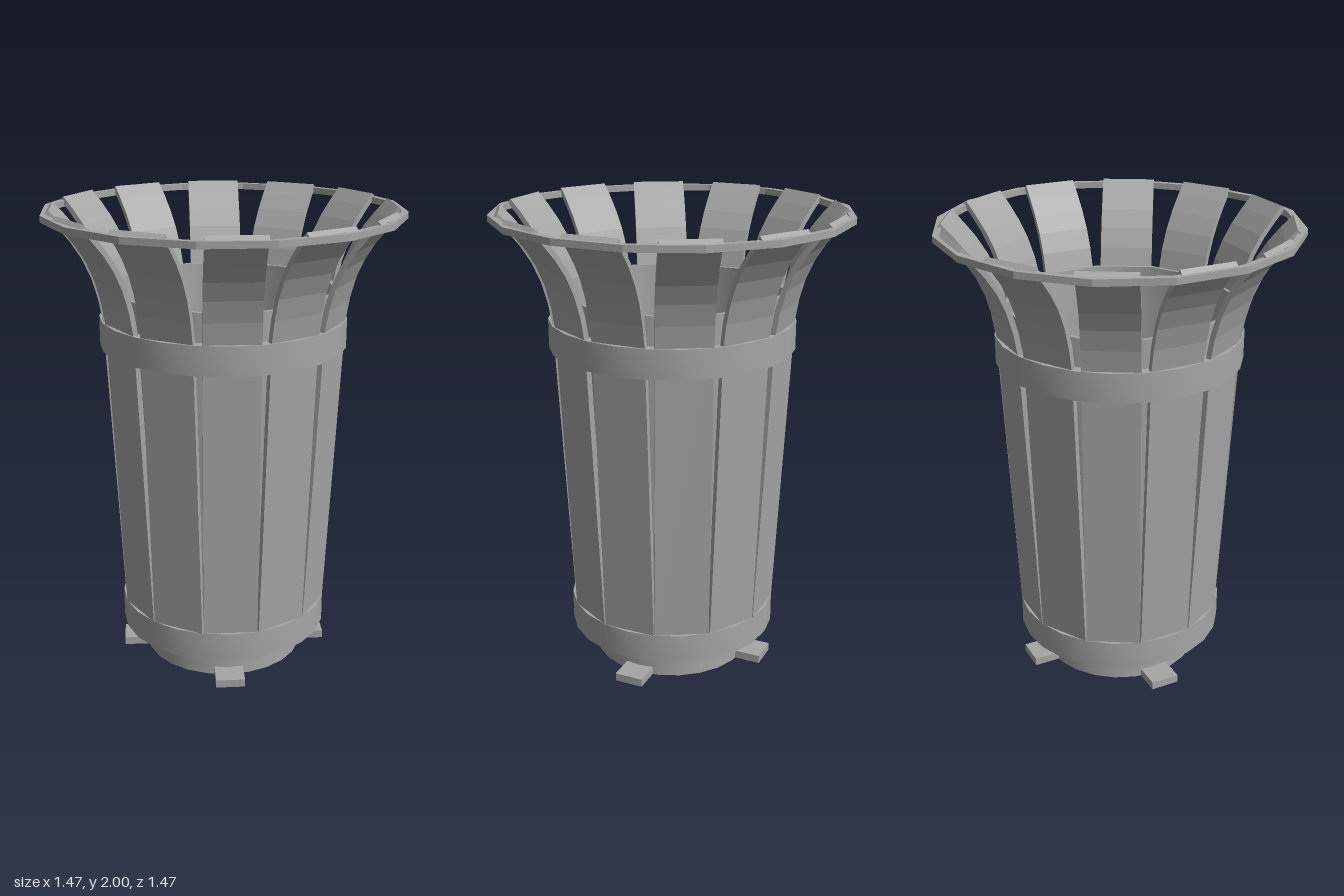
import * as THREE from 'three';
import { toCreasedNormals } from 'three/addons/utils/BufferGeometryUtils.js';

const metal = new THREE.MeshStandardMaterial({ color: 0xa6a6a6 });
metal.name = 'grey metal';

function add(parent, name, geometry) {
  const mesh = new THREE.Mesh(geometry, metal);
  mesh.name = name;
  parent.add(mesh);
  return mesh;
}

// Closed profile turned round y: up the outside, down the inside
function turned(profile, sides, start = 0, crease = 0.6) {
  const points = [...profile, profile[0]].map(([r, y]) => new THREE.Vector2(r, y));
  return toCreasedNormals(new THREE.LatheGeometry(points, sides, start), crease);
}

const hoop = (inner, outer, y0, y1) => [[outer, y0], [outer, y1], [inner, y1], [inner, y0]];

// One plank, straight below and flaring outwards at the top
function slatGeometry(width, thickness) {
  const outer = [
    [0.435, 0.15], [0.503, 1.54], [0.518, 1.63], [0.543, 1.72],
    [0.578, 1.80], [0.622, 1.87], [0.672, 1.932], [0.718, 1.982],
  ].map(([r, y]) => new THREE.Vector2(r, y));
  const inner = outer.map((p, i) => {
    const a = outer[Math.max(i - 1, 0)];
    const b = outer[Math.min(i + 1, outer.length - 1)];
    const d = b.clone().sub(a).normalize();
    return new THREE.Vector2(p.x - d.y * thickness, p.y + d.x * thickness);
  });
  const shape = new THREE.Shape([...outer, ...inner.reverse()]);
  const geometry = new THREE.ExtrudeGeometry(shape, { depth: width, bevelEnabled: false });
  return geometry.translate(0, 0, -width / 2);
}

export function createModel() {
  const model = new THREE.Group();
  model.name = 'litter bin';

  // Base drum and four feet
  add(model, 'base', toCreasedNormals(new THREE.CylinderGeometry(0.35, 0.35, 0.15, 24), 0.6))
    .position.y = 0.075;
  for (let i = 0; i < 4; i++) {
    const a = (i * Math.PI) / 2;
    const foot = add(model, 'foot', new THREE.BoxGeometry(0.125, 0.035, 0.155));
    foot.position.set(Math.sin(a) * 0.3775, 0.0175, Math.cos(a) * 0.3775);
    foot.rotation.y = a;
  }

  // Lower and upper bands
  add(model, 'lowerBand', turned(hoop(0.3, 0.455, 0.13, 0.257), 24));
  add(model, 'upperBand', turned(hoop(0.465, 0.522, 1.417, 1.54), 24));

  // Twelve slats
  const slats = new THREE.Group();
  slats.name = 'slats';
  model.add(slats);
  const slat = slatGeometry(0.23, 0.022);
  for (let i = 0; i < 12; i++) add(slats, 'slat', slat).rotation.y = (i * Math.PI) / 6;

  // Twelve-sided inner container with a floor
  const k = 1 / Math.cos(Math.PI / 12);
  const liner = [
    [0, 0.16], [0.425 * k, 0.16], [0.468 * k, 1.66], [0.453 * k, 1.66], [0.437 * k, 1.45], [0.43 * k, 0.22], [0, 0.22],
  ];
  add(model, 'liner', turned(liner, 12, Math.PI / 12));

  // Rim ring round the slat tips
  add(model, 'rim', turned(hoop(0.722, 0.75, 1.955, 1.982), 16, Math.PI / 16, 0.2));

  return model;
}
